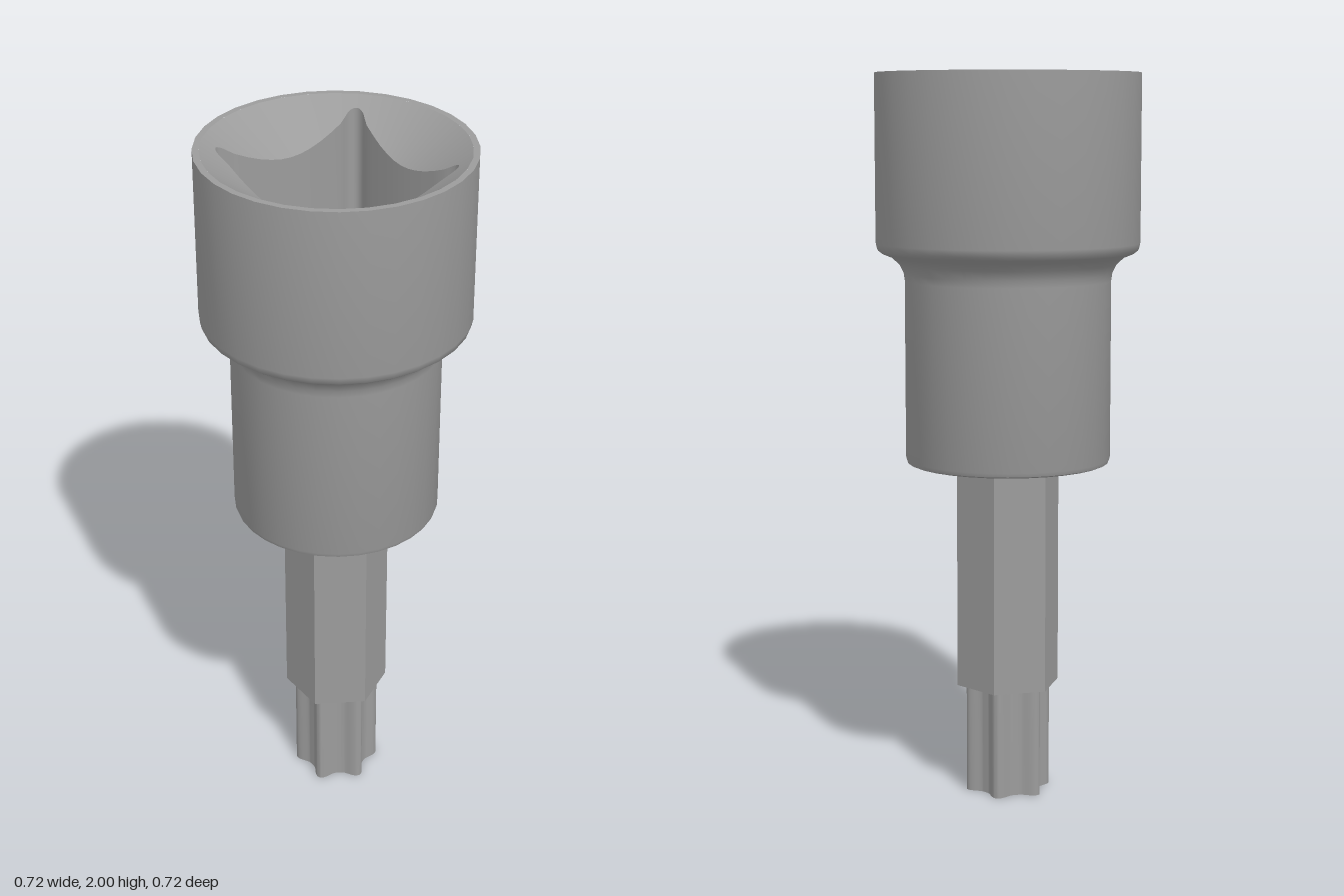
import * as THREE from 'three';
import { toCreasedNormals } from 'three/addons/utils/BufferGeometryUtils.js';

const steel = new THREE.MeshStandardMaterial({ color: 0x9c9c9c });

function addPart(group, name, geometry, crease = 0.5) {
  const mesh = new THREE.Mesh(toCreasedNormals(geometry, crease), steel);
  mesh.name = name;
  group.add(mesh);
  return mesh;
}

// Contour of the square drive opening as [angle, radius], with bowed sides and relieved corners
function driveContour() {
  const half = [[0.203, 0], [0.2035, 0.03], [0.205, 0.06], [0.2073, 0.095], [0.2105, 0.13],
    [0.214, 0.165], [0.219, 0.18], [0.2245, 0.195], [0.2255, 0.205], [0.2235, 0.214], [0.2195, 0.2195]];
  const eighth = half.map(([x, y]) => [Math.atan2(y, x), Math.hypot(x, y)]);
  const mirrored = eighth.slice(1, -1).reverse().map(([a, r]) => [Math.PI / 2 - a, r]);
  const quarter = [...eighth, ...mirrored];
  return [0, 1, 2, 3].flatMap(q => quarter.map(([a, r]) => [a + q * Math.PI / 2, r]));
}

// Loft closed rings; each ring maps the contour radius to [radius, height]
function loft(contour, rings) {
  const n = contour.length, positions = [], indices = [];
  rings.forEach((ring, j) => contour.forEach(([a, r], i) => {
    const [radius, y] = ring(r);
    positions.push(radius * Math.sin(a), y, radius * Math.cos(a));
    if (j === rings.length - 1) return;
    const p = j * n + i, q = j * n + (i + 1) % n;
    indices.push(p, q, p + n, q, q + n, p + n);
  }));
  const geometry = new THREE.BufferGeometry();
  geometry.setAttribute('position', new THREE.Float32BufferAttribute(positions, 3));
  geometry.setIndex(indices);
  return geometry;
}

export function createModel() {
  const group = new THREE.Group();
  group.name = 'socketBit';
  const outerR = 0.362, rimR = 0.345, sides = 32;

  // Stepped round body with a filleted shoulder
  const profile = [[0, 0.935], [0.27, 0.935], [0.279, 0.939], [0.283, 0.95], [0.283, 1.44],
    [0.286, 1.46], [0.298, 1.485], [0.32, 1.505], [0.345, 1.515], [0.358, 1.525],
    [outerR, 1.543], [outerR, 2]].map(([x, y]) => new THREE.Vector2(x, y));
  addPart(group, 'socketBody', new THREE.LatheGeometry(profile, sides), 0.75);

  // Flat top rim
  const rim = new THREE.RingGeometry(rimR, outerR, sides);
  rim.rotateX(-Math.PI / 2);
  addPart(group, 'rim', rim).position.y = 2;

  // Conical lead-in, square walls, floor and central bore
  const floorY = 1.54, boreY = 1.2, boreR = 0.12;
  addPart(group, 'driveOpening', loft(driveContour(), [
    () => [rimR, 2],
    r => [r, 2 - 0.72 * (rimR - r)],
    r => [r, floorY],
    () => [boreR, floorY],
    () => [boreR, boreY],
    () => [0, boreY],
  ]), 0.7);

  // Hexagonal shank
  const shank = addPart(group, 'hexShank', new THREE.CylinderGeometry(0.146, 0.146, 0.635, 6));
  shank.position.y = 0.305 + 0.635 / 2;

  // Six-lobed tip with narrow lobes and broad valleys
  const outline = [];
  for (let i = 0; i < 120; i++) {
    const a = i / 120 * Math.PI * 2;
    const r = 0.088 + 0.032 * ((1 + Math.cos(6 * a)) / 2) ** 1.7;
    outline.push(new THREE.Vector2(r * Math.sin(a), r * Math.cos(a)));
  }
  const tip = new THREE.ExtrudeGeometry(new THREE.Shape(outline), { depth: 0.31, bevelEnabled: false });
  tip.rotateX(-Math.PI / 2);
  addPart(group, 'lobedTip', tip, 0.7);

  return group;
}
